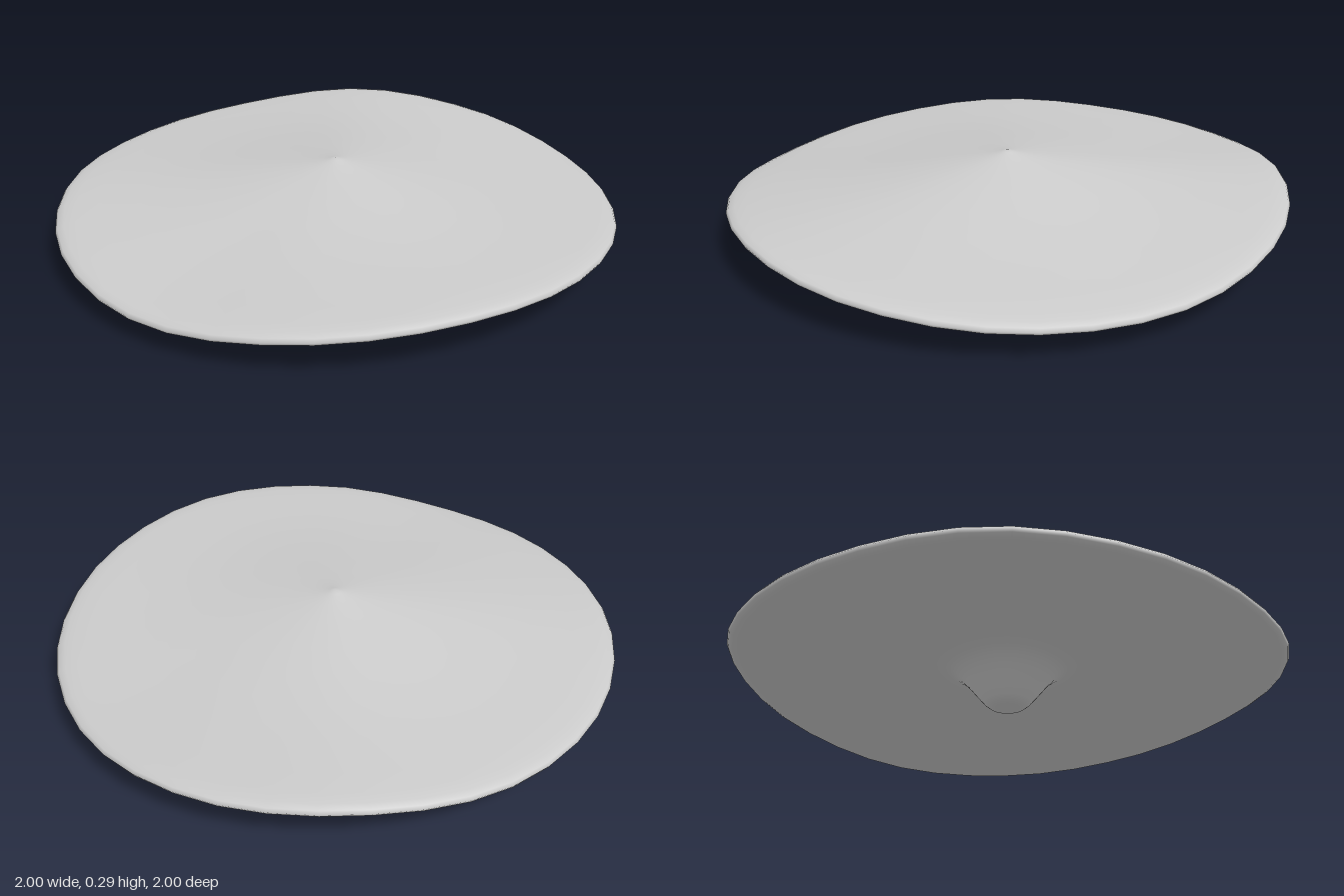
import * as THREE from 'three';
import { mergeVertices } from 'three/addons/utils/BufferGeometryUtils.js';

// Rim height every 30 degrees, from +x towards +z
const RIM = [0.11, 0.115, 0.145, 0.165, 0.135, 0.09, 0.105, 0.13, 0.125, 0.14, 0.18, 0.15];
const MEAN = 0.13;

// Smooth periodic interpolation of the rim heights
function rimHeight(angle) {
  const n = RIM.length;
  const t = ((angle / (Math.PI * 2)) * n + n) % n;
  const i = Math.floor(t), f = t - i;
  const [a, b, c, d] = [-1, 0, 1, 2].map((k) => RIM[(i + k + n) % n]);
  return b + 0.5 * f * (c - a + f * (2 * a - 5 * b + 4 * c - d + f * (3 * (b - c) + d - a)));
}

export function createModel() {
  const group = new THREE.Group();
  group.name = 'wavyCap';

  // Profile from the stub's base, along the underside, round the rim, up to the tip
  const profile = [
    [0, 0], [0.04, 0.001], [0.065, 0.006], [0.085, 0.022], [0.115, 0.058], [0.15, 0.1],
    [0.18, 0.13], [0.215, 0.152], [0.27, 0.167], [0.35, 0.17], [0.5, 0.159], [0.65, 0.143],
    [0.8, 0.125], [0.9, 0.113], [0.95, 0.109], [0.98, 0.113], [0.995, 0.122], [1, 0.132],
    [0.992, 0.143], [0.97, 0.151], [0.93, 0.157], [0.85, 0.165], [0.7, 0.178], [0.55, 0.195],
    [0.4, 0.217], [0.28, 0.237], [0.18, 0.253], [0.1, 0.267], [0.05, 0.277], [0.02, 0.285], [0, 0.291],
  ].map(([r, y]) => new THREE.Vector2(r, y));

  let geometry = new THREE.LatheGeometry(profile, 40);
  geometry.deleteAttribute('uv');
  geometry.deleteAttribute('normal');

  // Bend the disc so that the waves grow towards the rim
  const pos = geometry.attributes.position;
  for (let i = 0; i < pos.count; i++) {
    const x = pos.getX(i), z = pos.getZ(i);
    const wave = (rimHeight(Math.atan2(z, x)) - MEAN) * Math.pow(Math.hypot(x, z), 1.5);
    // The stub itself stays straight
    const blend = pos.getY(i) < 0.1 && Math.hypot(x, z) < 0.2 ? 0 : 1;
    pos.setY(i, pos.getY(i) + wave * blend);
  }
  geometry = mergeVertices(geometry, 1e-5);
  geometry.computeVertexNormals();

  const cap = new THREE.Mesh(geometry, new THREE.MeshStandardMaterial({ color: 0xcccccc }));
  cap.name = 'cap';
  group.add(cap);
  return group;
}
